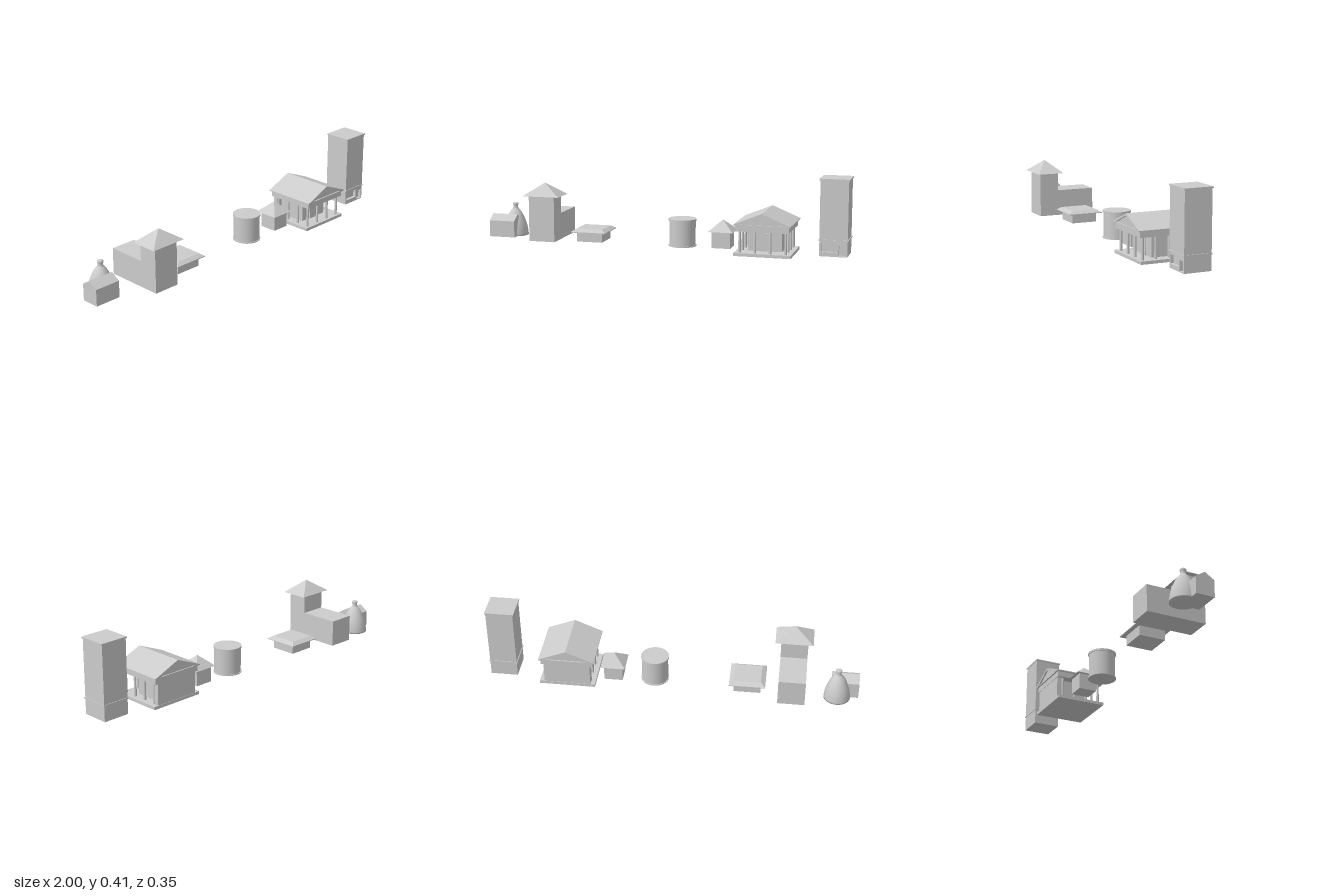
import * as THREE from 'three';

const grey = new THREE.MeshStandardMaterial({ color: 0xcccccc });
const flat = new THREE.MeshStandardMaterial({ color: 0xcccccc, flatShading: true });

function add(parent, name, geometry, material = flat) {
  const mesh = new THREE.Mesh(geometry, material);
  mesh.name = name;
  parent.add(mesh);
  return mesh;
}

function group(parent, name) {
  const g = new THREE.Group();
  g.name = name;
  parent.add(g);
  return g;
}

// Box given by its limits on each axis
function box(parent, name, x0, x1, y0, y1, z0, z1) {
  const mesh = add(parent, name, new THREE.BoxGeometry(x1 - x0, y1 - y0, z1 - z0));
  mesh.position.set((x0 + x1) / 2, (y0 + y1) / 2, (z0 + z1) / 2);
  return mesh;
}

// Hip roof: a box whose top face is scaled towards its centre
function hipRoof(parent, name, cx, cz, w, d, y0, y1, topScale) {
  const geo = new THREE.BoxGeometry(w, y1 - y0, d);
  const p = geo.attributes.position;
  for (let i = 0; i < p.count; i++) {
    if (p.getY(i) > 0) {
      p.setX(i, p.getX(i) * topScale);
      p.setZ(i, p.getZ(i) * topScale);
    }
  }
  geo.computeVertexNormals();
  const mesh = add(parent, name, geo);
  mesh.position.set(cx, (y0 + y1) / 2, cz);
  return mesh;
}

// Outline in x and y, extruded along z
function prism(parent, name, points, z0, z1, holes = []) {
  const shape = new THREE.Shape(points.map(([x, y]) => new THREE.Vector2(x, y)));
  for (const [x0, x1, y0, y1] of holes) {
    shape.holes.push(new THREE.Path([[x0, y0], [x0, y1], [x1, y1], [x1, y0]].map(([x, y]) => new THREE.Vector2(x, y))));
  }
  const geo = new THREE.ExtrudeGeometry(shape, { depth: z1 - z0, bevelEnabled: false });
  geo.translate(0, 0, z0);
  return add(parent, name, geo);
}

function bottleKiln(root) {
  const g = group(root, 'bottleKiln');
  // Curved oven, narrowing to a short chimney
  const bulge = new THREE.SplineCurve([
    [0.071, 0.01], [0.066, 0.05], [0.055, 0.09], [0.036, 0.132], [0.014, 0.162],
  ].map(([r, y]) => new THREE.Vector2(r, y))).getPoints(14);
  const profile = [new THREE.Vector2(0, 0.01), ...bulge,
    ...[[0.013, 0.176], [0.016, 0.178], [0.016, 0.187], [0.011, 0.191], [0, 0.191]].map(([r, y]) => new THREE.Vector2(r, y))];
  add(g, 'oven', new THREE.LatheGeometry(profile, 32), grey).position.set(-0.886, 0, -0.066);
  // Workshop with its ridge along x
  const shed = prism(g, 'workshop', [[-0.05, 0.01], [0.05, 0.01], [0.05, 0.1], [0, 0.132], [-0.05, 0.1]], -0.0725, 0.0725);
  shed.rotation.y = Math.PI / 2;
  shed.position.set(-0.9275, 0, -0.015);
}

function hallWithTower(root) {
  const g = group(root, 'hallWithTower');
  box(g, 'hall', -0.717, -0.573, 0.02, 0.164, -0.172, 0.044);
  box(g, 'hallTower', -0.717, -0.573, 0.02, 0.267, 0.044, 0.152);
  hipRoof(g, 'towerRoof', -0.643, 0.098, 0.203, 0.15, 0.267, 0.335, 0.001);
}

function lowPavilion(root) {
  const g = group(root, 'lowPavilion');
  box(g, 'walls', -0.479, -0.335, 0.012, 0.066, -0.088, 0.056);
  box(g, 'eave', -0.504, -0.31, 0.064, 0.068, -0.113, 0.081);
  hipRoof(g, 'roof', -0.407, -0.016, 0.194, 0.194, 0.068, 0.083, 0.75);
}

function silo(root) {
  const g = group(root, 'silo');
  for (const [name, r, y0, y1] of [['base', 0.075, 0.008, 0.014], ['drum', 0.071, 0.014, 0.145], ['lid', 0.075, 0.145, 0.156]]) {
    add(g, name, new THREE.CylinderGeometry(r, r, y1 - y0, 32), grey).position.set(0.098, (y0 + y1) / 2, -0.014);
  }
}

function smallHouse(root) {
  const g = group(root, 'smallHouse');
  box(g, 'walls', 0.27, 0.37, 0.012, 0.1, -0.066, 0.034);
  hipRoof(g, 'roof', 0.32, -0.017, 0.134, 0.134, 0.1, 0.16, 0.001);
}

function temple(root) {
  const g = group(root, 'temple');
  const cx = 0.563;
  box(g, 'platform', cx - 0.151, cx + 0.151, 0, 0.016, -0.128, 0.147);
  // Inner room, door and wide back wall
  box(g, 'room', cx - 0.09, cx + 0.09, 0.016, 0.13, -0.1, 0.06);
  box(g, 'door', cx - 0.032, cx + 0.032, 0.016, 0.11, 0.06, 0.065);
  box(g, 'backWall', cx - 0.125, cx + 0.125, 0.016, 0.13, -0.126, -0.1);
  // Columns along the front and both sides
  for (let i = 0; i < 4; i++) {
    for (let j = 0; j < 4; j++) {
      if (j > 0 && i > 0 && i < 3) continue;
      const c = add(g, 'column', new THREE.CylinderGeometry(0.0065, 0.0075, 0.114, 16), grey);
      c.position.set(cx - 0.121 + i * 0.0807, 0.073, 0.125 - j * 0.0723);
    }
  }
  box(g, 'entablature', cx - 0.14, cx + 0.14, 0.13, 0.162, -0.128, 0.147);
  box(g, 'cornice', cx - 0.149, cx + 0.149, 0.161, 0.167, -0.136, 0.156);
  // Gable with roof slabs lying over it
  prism(g, 'pediment', [[cx - 0.142, 0.162], [cx + 0.142, 0.162], [cx, 0.222]], -0.13, 0.149);
  prism(g, 'roof', [[cx - 0.15, 0.162], [cx - 0.125, 0.162], [cx, 0.217], [cx + 0.125, 0.162],
    [cx + 0.15, 0.162], [cx + 0.15, 0.167], [cx, 0.229], [cx - 0.15, 0.167]], -0.138, 0.158);
}

function tallBlock(root) {
  const g = group(root, 'tallBlock');
  const x0 = 0.847, x1 = 0.993;
  box(g, 'groundFloor', x0, x1, 0.007, 0.09, -0.083, 0.045);
  // Shop front with window and door openings
  prism(g, 'shopFront', [[x0, 0.007], [x1, 0.007], [x1, 0.09], [x0, 0.09]], 0.045, 0.063,
    [[0.856, 0.939, 0.03, 0.075], [0.948, 0.986, 0.012, 0.065]]);
  box(g, 'belt', 0.843, 0.997, 0.088, 0.095, -0.086, 0.067);
  box(g, 'upperFloors', x0, x1, 0.095, 0.402, -0.083, 0.063);
  box(g, 'parapet', 0.842, 0.998, 0.402, 0.41, -0.086, 0.067);
}

export function createModel() {
  const root = new THREE.Group();
  root.name = 'buildings';
  for (const build of [bottleKiln, hallWithTower, lowPavilion, silo, smallHouse, temple, tallBlock]) build(root);
  return root;
}
